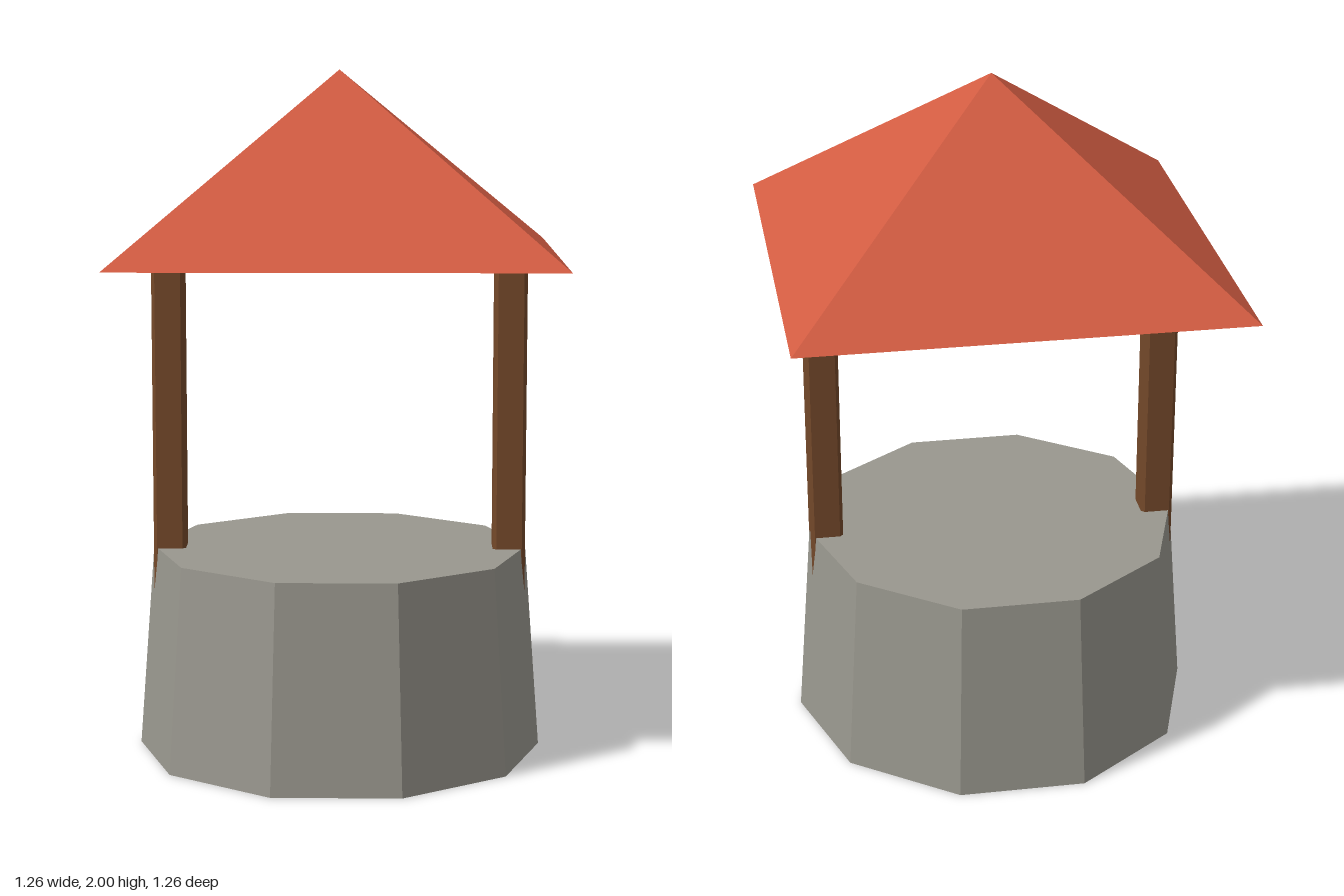
import * as THREE from 'three';

const material = (color) => new THREE.MeshStandardMaterial({ color, flatShading: true });

function addMesh(parent, name, geometry, mat, x, y, z) {
  const mesh = new THREE.Mesh(geometry, mat);
  mesh.name = name;
  mesh.position.set(x, y, z);
  parent.add(mesh);
  return mesh;
}

// Upright square post with chamfered corners, standing on y = 0
function postGeometry(half, chamfer, height) {
  const c = half - chamfer;
  const shape = new THREE.Shape([
    [half, -c], [half, c], [c, half], [-c, half],
    [-half, c], [-half, -c], [-c, -half], [c, -half],
  ].map(([x, y]) => new THREE.Vector2(x, y)));
  return new THREE.ExtrudeGeometry(shape, { depth: height, bevelEnabled: false }).rotateX(-Math.PI / 2);
}

export function createModel() {
  const model = new THREE.Group();
  model.name = 'well';
  const stone = material(0x99978e);
  const wood = material(0x75492a);
  const tile = material(0xd25c42);

  // Tapered ten-sided base with corners on the x axis
  const base = new THREE.CylinderGeometry(0.55, 0.595, 0.6, 10).rotateY(Math.PI / 2);
  addMesh(model, 'stoneBase', base, stone, 0, 0.3, 0);

  // Posts sunk into the base and reaching just inside the roof
  const post = postGeometry(0.0475, 0.01, 1.1);
  for (const [name, side] of [['leftPost', 1], ['rightPost', -1]]) {
    addMesh(model, name, post, wood, side * 0.5, 0.4, 0);
  }

  // Closed square pyramid roof
  const roof = new THREE.ConeGeometry(0.632 * Math.SQRT2, 0.532, 4).rotateY(Math.PI / 4);
  addMesh(model, 'roof', roof, tile, 0, 1.734, 0);

  return model;
}
